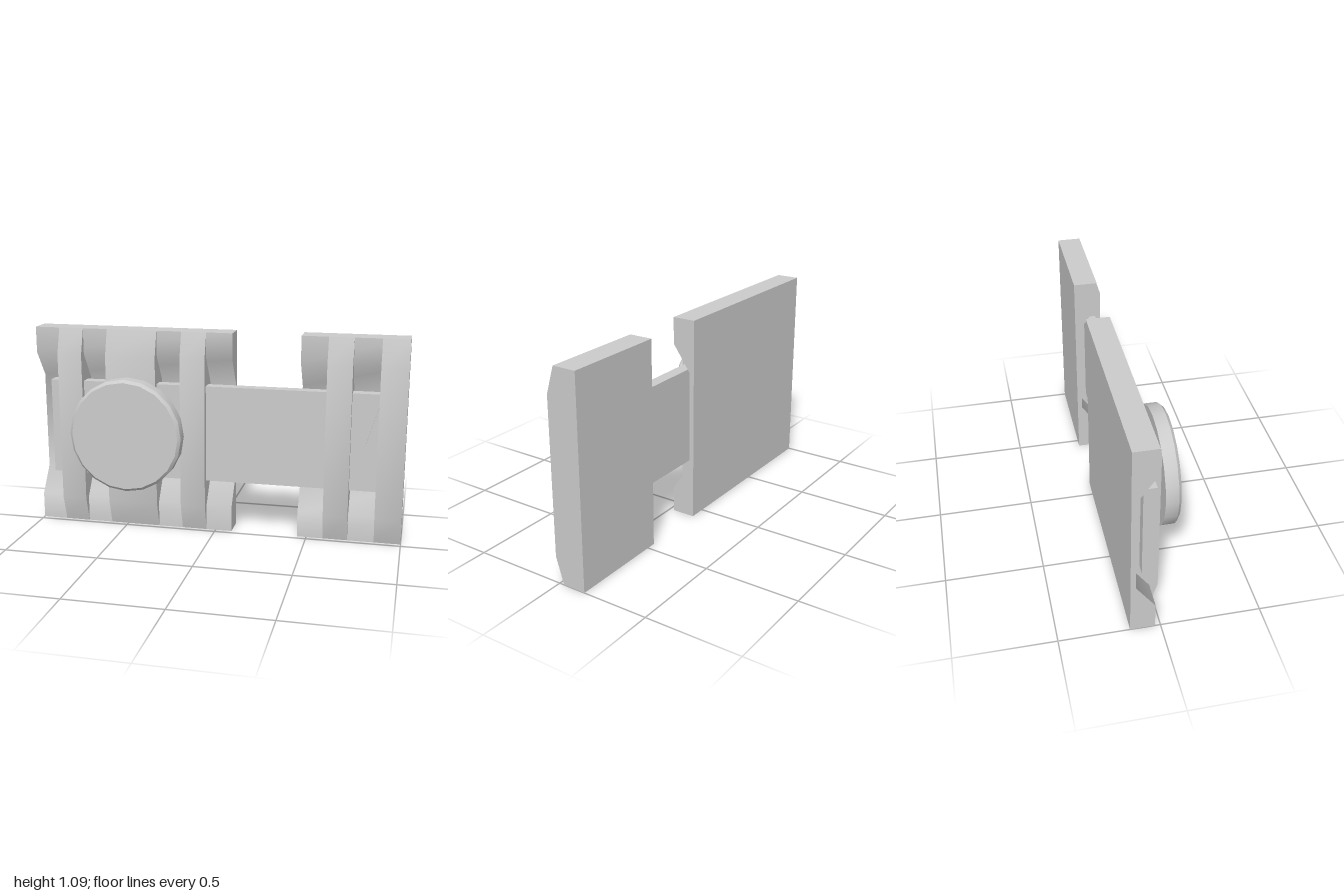
import * as THREE from 'three';
import { toCreasedNormals } from 'three/addons/utils/BufferGeometryUtils.js';

const HEIGHT = 1.09, MID = HEIGHT / 2;
const BACK = -0.15, RIM = -0.027, RECESS = -0.125, FRONT = 0.015, BOLT_FRONT = -0.014;

export function createModel() {
  const group = new THREE.Group();
  const material = new THREE.MeshStandardMaterial({ color: 0xcccccc });

  const add = (name, geometry) => {
    const mesh = new THREE.Mesh(geometry, material);
    mesh.name = name;
    group.add(mesh);
  };

  // Extrudes a [z, y] side profile, mirrored about mid height, from x0 to x1
  const sideExtrude = (half, x0, x1) => {
    const mirrored = half.map(([z, y]) => [z, HEIGHT - y]).reverse();
    const points = [...half, ...mirrored].map(([z, y]) => new THREE.Vector2(-z, y));
    const geometry = new THREE.ExtrudeGeometry(new THREE.Shape(points), { depth: x1 - x0, bevelEnabled: false });
    geometry.rotateY(Math.PI / 2).translate(x0, 0, 0);
    return toCreasedNormals(geometry, 0.75);
  };

  // Base plates with a sloped channel for the bolt
  const plateProfile = [[BACK, 0], [RIM, 0], [RIM, 0.14], [RECESS, 0.28]];
  add('mainPlate', sideExtrude(plateProfile, -1, 0.09));
  add('keeperPlate', sideExtrude(plateProfile, 0.45, 1));

  // Raised straps with tapered ends
  const strapProfile = [[BACK, 0], [RIM, 0], [FRONT, 0.14]];
  const straps = [
    ['outerStrap', -0.865, -0.73],
    ['middleStrap', -0.595, -0.32],
    ['innerStrap', -0.185, -0.05],
    ['keeperStrap', 0.59, 0.72],
    ['endStrap', 0.86, 1],
  ];
  for (const [name, x0, x1] of straps) add(name, sideExtrude(strapProfile, x0, x1));

  // Pointed tabs on the strap edges, lying over the bolt
  const addTab = (name, x, dir) => {
    const shape = new THREE.Shape([
      new THREE.Vector2(x, MID - 0.2),
      new THREE.Vector2(x + dir * 0.06, MID),
      new THREE.Vector2(x, MID + 0.2),
    ]);
    const geometry = new THREE.ExtrudeGeometry(shape, { depth: FRONT - BOLT_FRONT, bevelEnabled: false });
    add(name, geometry.translate(0, 0, BOLT_FRONT));
  };
  addTab('middleTabRight', -0.595, -1);
  addTab('middleTabLeft', -0.32, 1);
  addTab('endTab', 0.86, -1);

  // Sliding bolt
  const bolt = new THREE.BoxGeometry(1.8, 0.52, 0.064);
  add('bolt', bolt.translate(-0.018, MID, BOLT_FRONT - 0.032));

  // Round knob with a chamfered front rim
  const knobProfile = [[0, 0.07], [0.305, 0.07], [0.305, 0.135], [0.29, 0.15], [0, 0.15]];
  const knob = new THREE.LatheGeometry(knobProfile.map(([r, z]) => new THREE.Vector2(r, z)), 20);
  knob.rotateX(Math.PI / 2).translate(-0.455, MID + 0.003, 0);
  add('knob', toCreasedNormals(knob, 0.6));

  return group;
}
